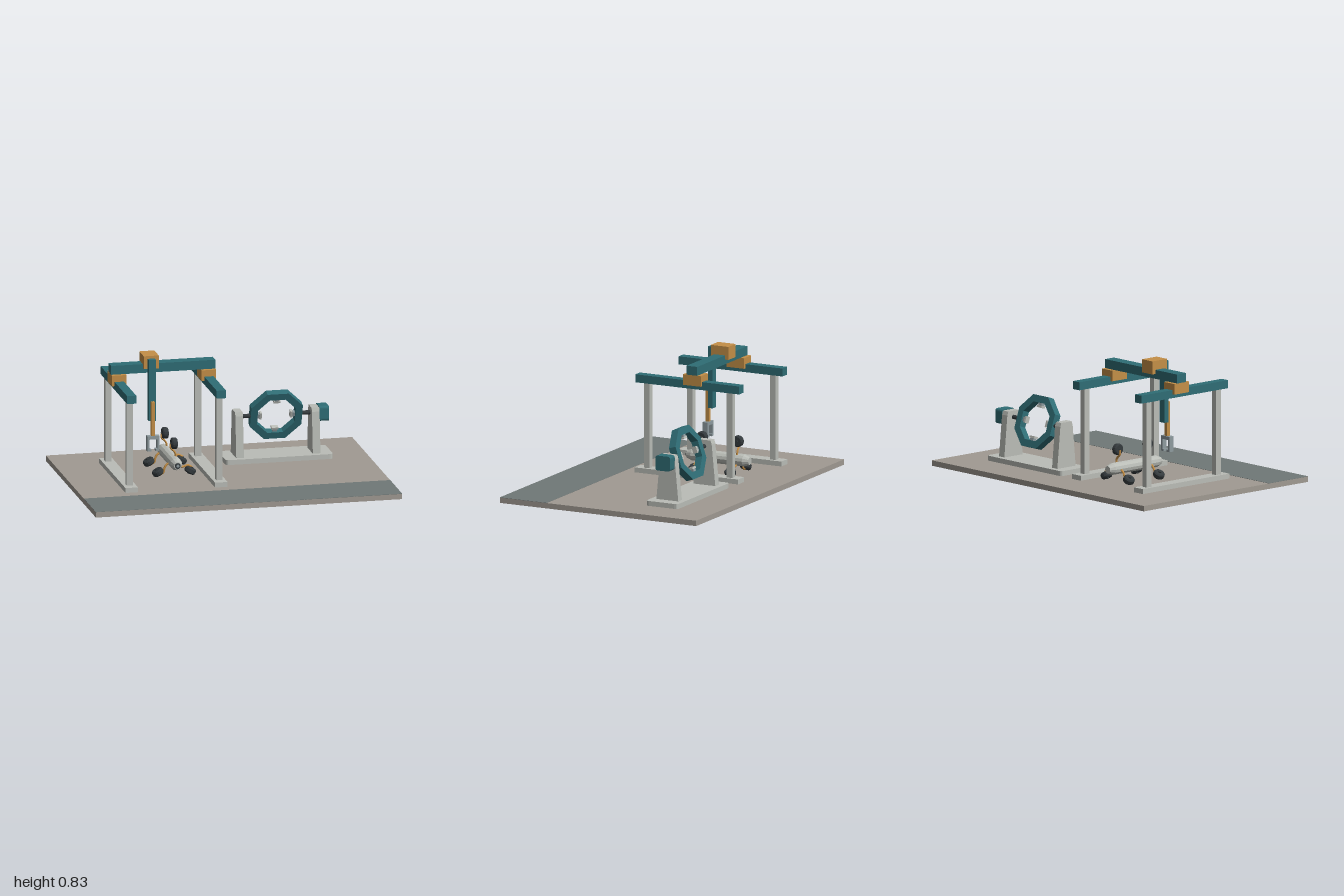
import * as THREE from 'three';

const paint = (color) => {
  const m = new THREE.MeshStandardMaterial({ flatShading: true });
  m.color.set(color);
  return m;
};
const teal = paint(0x2f6d75), orange = paint(0xc48f47), pale = paint(0xbabdb7), floorTan = paint(0xa09a92),
  slate = paint(0x707877), steel = paint(0x8e9b9f), dark = paint(0x343a3d);

function add(parent, name, geometry, material, x = 0, y = 0, z = 0) {
  const mesh = new THREE.Mesh(geometry, material);
  mesh.name = name;
  mesh.position.set(x, y, z);
  parent.add(mesh);
  return mesh;
}

// Box given by its extents on each axis
function block(parent, name, material, [x0, x1], [y0, y1], [z0, z1]) {
  return add(parent, name, new THREE.BoxGeometry(x1 - x0, y1 - y0, z1 - z0), material,
    (x0 + x1) / 2, (y0 + y1) / 2, (z0 + z1) / 2);
}

function group(parent, name, x = 0, y = 0, z = 0) {
  const g = new THREE.Group();
  g.name = name;
  g.position.set(x, y, z);
  parent.add(g);
  return g;
}

const polygon = (points) => new THREE.Shape(points.map(([x, y]) => new THREE.Vector2(x, y)));
const extrude = (shape, depth) =>
  new THREE.ExtrudeGeometry(shape, { depth, bevelEnabled: false, curveSegments: 4 }).translate(0, 0, -depth / 2);

// Rectangle with cut or rounded corners
function roundedRect(w, h, r) {
  const s = new THREE.Shape(), a = w / 2, b = h / 2;
  s.moveTo(-a + r, -b);
  s.lineTo(a - r, -b); s.quadraticCurveTo(a, -b, a, -b + r);
  s.lineTo(a, b - r); s.quadraticCurveTo(a, b, a - r, b);
  s.lineTo(-a + r, b); s.quadraticCurveTo(-a, b, -a, b - r);
  s.lineTo(-a, -b + r); s.quadraticCurveTo(-a, -b, -a + r, -b);
  return s;
}

function octagon(apothem, Kind) {
  const r = apothem / Math.cos(Math.PI / 8), pts = [];
  for (let i = 0; i < 8; i++) {
    const a = (i + 0.5) * Math.PI / 4;
    pts.push(new THREE.Vector2(r * Math.cos(a), r * Math.sin(a)));
  }
  return new Kind(pts);
}

function buildGantry(root) {
  const g = group(root, 'gantry');
  for (const x of [-0.67, -0.085]) {
    block(g, 'foot', pale, [x - 0.041, x + 0.041], [0.035, 0.067], [-0.453, 0.293]);
    for (const z of [-0.38, 0.218]) block(g, 'post', pale, [x - 0.02, x + 0.02], [0.067, 0.62], [z - 0.02, z + 0.02]);
    block(g, 'rail', teal, [x - 0.03, x + 0.03], [0.62, 0.672], [-0.455, 0.293]);
    block(g, 'railCarriage', orange, [x - 0.048, x + 0.048], [0.645, 0.714], [-0.188, -0.06]);
  }
  block(g, 'crossBeam', teal, [-0.717, -0.037], [0.714, 0.772], [-0.162, -0.086]);
  block(g, 'trolley', orange, [-0.51, -0.412], [0.745, 0.83], [-0.187, -0.06]);
  block(g, 'mast', teal, [-0.485, -0.438], [0.41, 0.812], [-0.06, -0.026]);
  block(g, 'slidingArm', orange, [-0.473, -0.45], [0.31, 0.54], [-0.026, 0]);
  // C-shaped gripper, open at the bottom
  const claw = polygon([[-0.04, 0.05], [-0.04, -0.05], [-0.015, -0.05], [-0.015, -0.036], [-0.026, -0.036],
    [-0.026, 0.028], [0.026, 0.028], [0.026, -0.036], [0.015, -0.036], [0.015, -0.05], [0.04, -0.05], [0.04, 0.05]]);
  add(g, 'gripper', extrude(claw, 0.038), steel, -0.461, 0.268, -0.014);
}

function buildCrawler(root) {
  const g = group(root, 'pipeCrawler', -0.315, 0.126, 0);
  const profile = [[0, -0.394], [0.024, -0.394], [0.039, -0.355], [0.039, 0.017], [0.024, 0.056], [0, 0.056]]
    .map(([r, y]) => new THREE.Vector2(r, y));
  add(g, 'body', new THREE.LatheGeometry(profile, 12).rotateX(Math.PI / 2), pale);
  add(g, 'lensRim', new THREE.CylinderGeometry(0.019, 0.019, 0.006, 12).rotateX(Math.PI / 2), dark, 0, 0, 0.057);
  add(g, 'lens', new THREE.CylinderGeometry(0.01, 0.01, 0.008, 12).rotateX(Math.PI / 2), steel, 0, 0, 0.057);

  // Bent arms, each with a wheel, spaced around the body
  const path = new THREE.CatmullRomCurve3([[0.012, 0.03], [0.009, 0.055], [-0.004, 0.075], [-0.021, 0.09], [-0.023, 0.122]]
    .map(([x, y]) => new THREE.Vector3(x, y, 0)));
  const armGeometry = new THREE.TubeGeometry(path, 12, 0.007, 6);
  const tyre = new THREE.LatheGeometry([[0, -0.019], [0.03, -0.019], [0.037, -0.011], [0.037, 0.011], [0.03, 0.019], [0, 0.019]]
    .map(([r, y]) => new THREE.Vector2(r, y)), 16).rotateZ(Math.PI / 2);
  const hub = new THREE.CylinderGeometry(0.009, 0.009, 0.05, 8).rotateZ(Math.PI / 2);
  for (const z of [-0.308, -0.05]) {
    for (let i = 0; i < 3; i++) {
      const leg = group(g, 'wheelLeg', 0, 0, z);
      leg.rotation.z = i * Math.PI * 2 / 3;
      add(leg, 'arm', armGeometry, orange);
      add(leg, 'wheel', tyre, dark, 0, 0.122, 0);
      add(leg, 'hub', hub, dark, 0, 0.122, 0);
    }
  }
}

function buildPositioner(root) {
  const g = group(root, 'ringPositioner', 0.414, 0, -0.334);
  add(g, 'basePlate', extrude(roundedRect(0.702, 0.23, 0.025), 0.032).rotateX(-Math.PI / 2), pale, 0, 0.051, 0);

  // Tapered pedestals with shafts
  const side = polygon([[-0.079, 0.067], [0.079, 0.067], [0.053, 0.335], [0.045, 0.36], [-0.045, 0.36], [-0.053, 0.335]]);
  for (const s of [-1, 1]) {
    add(g, 'pedestal', extrude(side, 0.05).rotateY(Math.PI / 2), pale, s * 0.25, 0, 0);
    add(g, 'shaft', new THREE.CylinderGeometry(0.014, 0.014, 0.085, 12).rotateZ(Math.PI / 2), dark, s * 0.2, 0.32, 0);
  }
  add(g, 'motor', extrude(roundedRect(0.107, 0.097, 0.018), 0.063).rotateY(Math.PI / 2), teal, 0.306, 0.318, 0);

  // Tilted octagonal ring with four inward jaws
  const ring = group(g, 'tiltingRing', 0, 0.32, 0);
  ring.rotation.x = 0.32;
  const outline = octagon(0.168, THREE.Shape);
  outline.holes.push(octagon(0.123, THREE.Path));
  add(ring, 'ringFrame', extrude(outline, 0.05), teal);
  for (let i = 0; i < 4; i++) {
    const jaw = group(ring, 'jaw');
    jaw.rotation.z = i * Math.PI / 2;
    block(jaw, 'jawBase', steel, [-0.015, 0.015], [0.105, 0.126], [-0.014, 0.014]);
    block(jaw, 'jawTip', pale, [-0.022, 0.022], [0.093, 0.107], [-0.016, 0.016]);
  }
}

export function createModel() {
  const root = new THREE.Group();
  root.name = 'workshopCell';
  block(root, 'floor', floorTan, [-1, 1], [0, 0.035], [-0.708, 0.708]);
  block(root, 'walkway', slate, [-1, 1], [0.034, 0.0365], [0.37, 0.708]);
  buildGantry(root);
  buildCrawler(root);
  buildPositioner(root);
  return root;
}
